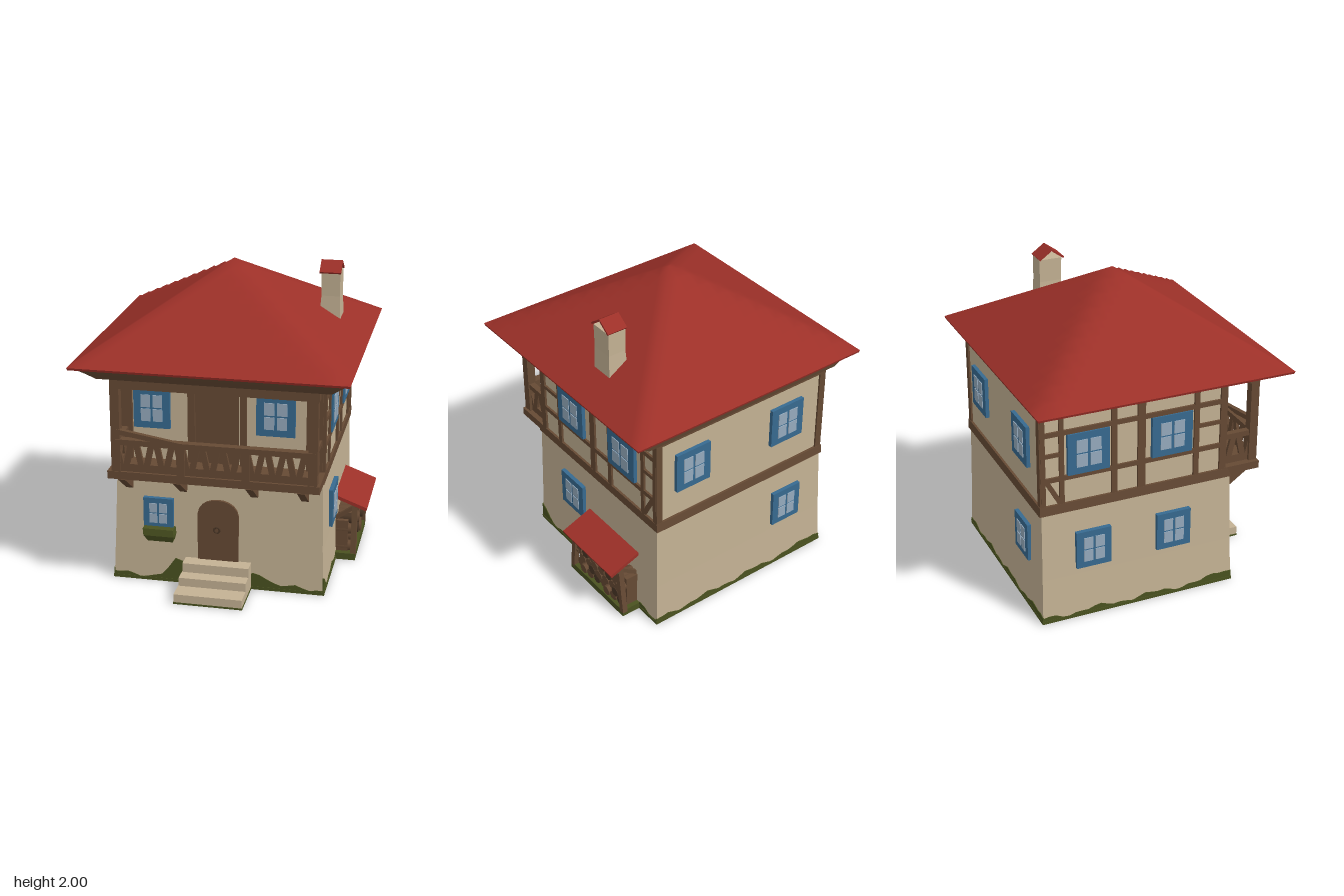
import * as THREE from 'three';

const mat = (name, color, side = THREE.FrontSide) => {
  const m = new THREE.MeshStandardMaterial({ color, side });
  m.name = name;
  return m;
};

export function createModel() {
  const root = new THREE.Group();
  root.name = 'house';
  const plaster = mat('plaster', 0xc4b294);
  const timber = mat('timber', 0x664a34);
  const darkWood = mat('dark wood', 0x4a3626);
  const red = mat('roof red', 0x9c3028, THREE.DoubleSide);
  const blue = mat('window blue', 0x376a90);
  const glass = mat('glass', 0x96abbe);
  const moss = mat('moss', 0x4a5220);

  const add = (name, geo, m, parent = root) => {
    const mesh = new THREE.Mesh(geo, m);
    mesh.name = name;
    parent.add(mesh);
    return mesh;
  };
  // box given by its limits
  const box = (name, m, x0, x1, y0, y1, z0, z1, parent) => {
    const b = add(name, new THREE.BoxGeometry(x1 - x0, y1 - y0, z1 - z0), m, parent);
    b.position.set((x0 + x1) / 2, (y0 + y1) / 2, (z0 + z1) / 2);
    return b;
  };
  // square bar between two points
  const bar = (name, m, a, b, t) => {
    const p = new THREE.Vector3(...a), q = new THREE.Vector3(...b);
    const mesh = add(name, new THREE.BoxGeometry(t, t, p.distanceTo(q)), m);
    mesh.position.copy(p).lerp(q, 0.5);
    mesh.lookAt(q);
    return mesh;
  };
  // closed solid from rectangles [y, x0, x1, z0, z1], bottom to top
  const loft = (name, m, rings) => {
    const c = rings.map(([y, x0, x1, z0, z1]) => [[x0, y, z1], [x1, y, z1], [x1, y, z0], [x0, y, z0]]);
    const v = [];
    const quad = (a, b, d, e) => v.push(...a, ...b, ...d, ...a, ...d, ...e);
    for (let i = 0; i + 1 < c.length; i++)
      for (let k = 0; k < 4; k++) {
        const n = (k + 1) % 4;
        quad(c[i][k], c[i][n], c[i + 1][n], c[i + 1][k]);
      }
    const top = c[c.length - 1];
    quad(top[0], top[1], top[2], top[3]);
    quad(c[0][3], c[0][2], c[0][1], c[0][0]);
    const g = new THREE.BufferGeometry();
    g.setAttribute('position', new THREE.Float32BufferAttribute(v, 3));
    g.computeVertexNormals();
    return add(name, g, m);
  };
  const extrude = (shape, depth) => new THREE.ExtrudeGeometry(shape, { depth, bevelEnabled: false, curveSegments: 10 });

  // walls
  loft('lowerWalls', plaster, [[0.01, -0.69, 0.66, -0.763, 0.535], [0.3, -0.675, 0.65, -0.755, 0.53], [0.76, -0.655, 0.64, -0.745, 0.52]]);
  loft('upperWalls', plaster, [[0.76, -0.645, 0.635, -0.74, 0.47], [1.45, -0.645, 0.635, -0.74, 0.47]]);
  loft('floorBeam', timber, [[0.745, -0.665, 0.65, -0.76, 0.53], [0.805, -0.66, 0.65, -0.755, 0.5]]);

  // roof, fascia and soffit
  const roofGeo = new THREE.PlaneGeometry(2, 2, 20, 20).rotateX(-Math.PI / 2);
  const rp = roofGeo.attributes.position;
  for (let i = 0; i < rp.count; i++) {
    const u = rp.getX(i), w = rp.getZ(i), r = Math.max(Math.abs(u), Math.abs(w));
    rp.setXYZ(i, u * 0.845 - 0.015, 2 - 0.51 * r, w * 0.83);
  }
  roofGeo.computeVertexNormals();
  add('roof', roofGeo, red);
  loft('roofEdge', red, [[1.475, -0.855, 0.825, -0.825, 0.825], [1.489, -0.859, 0.829, -0.829, 0.829]]);
  loft('soffit', timber, [[1.4, -0.71, 0.71, -0.77, 0.73], [1.44, -0.76, 0.76, -0.78, 0.77], [1.474, -0.82, 0.8, -0.8, 0.8]]);

  // chimney with two leaning tiles
  loft('chimney', plaster, [[1.55, 0.5, 0.64, -0.285, -0.125], [1.75, 0.515, 0.632, -0.275, -0.13], [1.9, 0.512, 0.632, -0.275, -0.125]]);
  for (const s of [-1, 1]) {
    const tile = add('chimneyTile', new THREE.BoxGeometry(0.135, 0.012, 0.105), red);
    tile.position.set(0.57, 1.932, -0.195 + s * 0.04);
    tile.rotation.x = s * 0.62;
  }

  // a mount on one wall: local x runs along the wall, local z points outward
  const mount = (name, side, u, y) => {
    const g = new THREE.Group();
    g.name = name;
    const [x, z, turn] = { front: [u, 0.47, 0], lowFront: [u, 0.53, 0], back: [u, -0.742, Math.PI], lowBack: [u, -0.752, Math.PI],
      right: [0.637, u, Math.PI / 2], lowRight: [0.648, u, Math.PI / 2],
      left: [-0.647, u, -Math.PI / 2], lowLeft: [-0.67, u, -Math.PI / 2] }[side];
    g.position.set(x, y, z);
    g.rotation.y = turn;
    root.add(g);
    return g;
  };

  // windows: frame with four panes
  const windows = [
    ['lowFront', -0.39, 0.475, 0.19, 0.2], ['front', -0.435, 1.15, 0.23, 0.26], ['front', 0.34, 1.15, 0.24, 0.26],
    ['right', 0.135, 1.125, 0.27, 0.27], ['right', -0.405, 1.125, 0.27, 0.27], ['lowRight', 0.135, 0.47, 0.24, 0.25],
    ['left', 0.11, 1.125, 0.27, 0.27], ['left', -0.44, 1.125, 0.27, 0.27],
    ['lowLeft', 0.12, 0.47, 0.23, 0.25], ['lowLeft', -0.42, 0.47, 0.23, 0.25],
    ['back', 0.38, 1.125, 0.25, 0.27], ['back', -0.35, 1.125, 0.25, 0.27], ['lowBack', -0.37, 0.47, 0.22, 0.25],
  ];
  for (const [side, u, y, w, h] of windows) {
    const g = mount('window', side, u, y);
    box('windowFrame', blue, -w / 2, w / 2, -h / 2, h / 2, -0.02, 0.022, g);
    for (const sx of [-1, 1]) for (const sy of [-1, 1]) {
      const pane = add('pane', new THREE.BoxGeometry(w * 0.26, h * 0.31, 0.006), glass, g);
      pane.position.set(sx * w * 0.165, sy * h * 0.175, 0.024);
    }
  }

  // half-timbering on both sides
  for (const side of ['left', 'right']) {
    const s = side === 'right' ? -1 : 1; // local x against world z
    const g = mount('sideTimbers', side, 0, 0);
    const plank = (z0, z1, y0, y1) => {
      const a = s * z0, b = s * z1;
      box('plank', timber, Math.min(a, b), Math.max(a, b), y0, y1, -0.01, 0.012, g);
    };
    for (const [z, w] of [[0.465, 0.045], [0.28, 0.035], [-0.09, 0.05], [-0.27, 0.035], [-0.61, 0.03], [-0.73, 0.03]])
      plank(z - w / 2, z + w / 2, 0.8, 1.42);
    plank(-0.74, 0.48, 1.26, 1.29);
    plank(-0.74, 0.48, 0.96, 0.99);
    plank(0.28, 0.47, 1.125, 1.15);
    plank(-0.74, -0.61, 1.125, 1.15);
    const brace = add('brace', new THREE.BoxGeometry(0.03, 0.2, 0.02), timber, g);
    brace.position.set(s * -0.66, 0.88, 0);
    brace.rotation.z = s * 0.5;
  }
  // back frame
  for (const x of [-0.635, 0.625]) box('backPost', timber, x - 0.022, x + 0.022, 0.8, 1.42, -0.752, -0.73);
  box('backTopBeam', timber, -0.65, 0.64, 1.37, 1.42, -0.752, -0.73);

  // front upper wall: door and frame timbers
  box('balconyDoor', timber, -0.165, 0.11, 0.8, 1.32, 0.46, 0.478);
  for (const [x, w] of [[-0.6, 0.08], [-0.185, 0.045], [0.14, 0.04], [0.58, 0.1]])
    box('frontPost', timber, x - w / 2, x + w / 2, 0.8, 1.42, 0.46, 0.495);
  box('frontTopBeam', timber, -0.64, 0.63, 1.325, 1.42, 0.46, 0.495);

  // balcony
  box('balconyFloor', timber, -0.66, 0.65, 0.76, 0.81, 0.47, 0.725);
  box('balconyBeam', timber, -0.63, 0.64, 1.345, 1.42, 0.655, 0.725);
  for (const x of [-0.605, 0.605]) {
    box('balconyPost', timber, x - 0.028, x + 0.028, 0.78, 1.4, 0.665, 0.72);
    box('sideTopBeam', timber, x - 0.03, x + 0.03, 1.36, 1.42, 0.47, 0.7);
    box('sideRail', timber, x - 0.02, x + 0.02, 0.985, 1.02, 0.48, 0.71);
  }
  box('handRail', timber, -0.62, 0.62, 0.985, 1.02, 0.675, 0.725);
  bar('leaningRail', timber, [-0.6, 1.07, 0.71], [-0.2, 1.005, 0.71], 0.03);
  for (const x of [-0.2, 0.2]) box('railPost', timber, x - 0.025, x + 0.025, 0.8, 1.0, 0.675, 0.725);
  // railing boards with alternating triangular gaps
  const railing = (w) => {
    const n = Math.round(w / 0.06), d = w / n;
    const s = new THREE.Shape([[0, 0.8], [w, 0.8], [w, 1], [0, 1]].map(p => new THREE.Vector2(...p)));
    for (let i = 0; i < n; i++) {
      const a = i * d + 0.006, b = (i + 1) * d - 0.006, m = (a + b) / 2;
      const pts = i % 2 ? [[a, 0.86], [b, 0.86], [m, 0.98]] : [[a, 0.98], [m, 0.86], [b, 0.98]];
      s.holes.push(new THREE.Path(pts.map(p => new THREE.Vector2(...p))));
    }
    return extrude(s, 0.02);
  };
  for (const x of [-0.59, -0.18, 0.22]) add('railing', railing(0.38), timber).position.set(x, 0, 0.69);
  for (const x of [-0.615, 0.595]) {
    const r = add('sideRailing', railing(0.2), timber);
    r.position.set(x, 0, 0.68);
    r.rotation.y = Math.PI / 2;
  }
  // brackets under the balcony
  for (const x of [-0.575, -0.23, 0.22, 0.535]) {
    bar('bracket', timber, [x, 0.77, 0.7], [x, 0.645, 0.52], 0.045);
    box('bracketHead', timber, x - 0.023, x + 0.023, 0.7, 0.77, 0.5, 0.62);
  }

  // arched front door
  const arch = new THREE.Shape();
  arch.moveTo(-0.14, 0.15);
  arch.lineTo(0.12, 0.15);
  arch.lineTo(0.12, 0.49);
  arch.bezierCurveTo(0.11, 0.62, -0.13, 0.62, -0.14, 0.49);
  add('frontDoor', extrude(arch, 0.03), timber).position.z = 0.512;
  add('doorRing', new THREE.TorusGeometry(0.018, 0.006, 6, 12), darkWood).position.set(-0.015, 0.39, 0.548);

  // steps and flower box
  box('topStep', plaster, -0.22, 0.2, 0.01, 0.18, 0.5, 0.625);
  box('middleStep', plaster, -0.225, 0.2, 0.01, 0.12, 0.6, 0.71);
  box('bottomStep', plaster, -0.23, 0.2, 0.01, 0.065, 0.7, 0.83);
  loft('flowerBox', moss, [[0.3, -0.45, -0.29, 0.52, 0.59], [0.34, -0.475, -0.28, 0.52, 0.605], [0.385, -0.48, -0.285, 0.52, 0.6]]);

  // mossy base and irregular edging
  box('mossBase', moss, -0.695, 0.665, 0, 0.02, -0.768, 0.54);
  box('stepMoss', moss, -0.232, 0.202, 0, 0.012, 0.5, 0.832);
  box('shedMoss', moss, 0.62, 0.79, 0, 0.045, -0.58, 0.0);
  const bump = (x, c, w, h) => h * Math.exp(-(((x - c) / w) ** 2));
  const mossStrip = (w, height) => {
    const s = new THREE.Shape();
    s.moveTo(-w / 2, 0);
    s.lineTo(w / 2, 0);
    for (let i = 30; i >= 0; i--) {
      const x = -w / 2 + (w * i) / 30;
      s.lineTo(x, 0.035 + 0.012 * Math.sin(x * 17) + 0.008 * Math.sin(x * 41) + height(x));
    }
    return extrude(s, 0.008);
  };
  for (const [x, z, turn, w, f] of [
    [-0.015, 0.53, 0, 1.355, x => bump(x, -0.25, 0.08, 0.12) + bump(x, 0.25, 0.08, 0.09)],
    [-0.015, -0.758, Math.PI, 1.355, x => bump(x, 0.6, 0.1, 0.03)],
    [0.654, -0.113, Math.PI / 2, 1.3, x => bump(x, -0.65, 0.06, 0.08)],
    [-0.684, -0.113, -Math.PI / 2, 1.3, x => bump(x, 0.6, 0.1, 0.04)],
  ]) {
    const strip = add('mossEdge', mossStrip(w, f), moss);
    strip.position.set(x, 0, z);
    strip.rotation.y = turn;
  }

  // woodshed
  const shedRoof = add('shedRoof', new THREE.BoxGeometry(0.235, 0.022, 0.53), red);
  shedRoof.position.set(0.745, 0.396, -0.293);
  shedRoof.rotation.z = -0.36;
  for (const [z0, z1] of [[-0.02, -0.06], [-0.57, -0.53]]) {
    bar('shedPost', timber, [0.775, 0.03, z0], [0.775, 0.38, z1], 0.035);
    bar('shedBrace', timber, [0.65, 0.27, z1], [0.79, 0.37, z1], 0.025);
    bar('shedRail', timber, [0.65, 0.2, z1], [0.78, 0.18, z1], 0.025);
  }
  bar('shedBeam', timber, [0.79, 0.355, -0.04], [0.79, 0.355, -0.55], 0.025);
  box('woodStack', timber, 0.64, 0.735, 0.03, 0.26, -0.55, -0.04);
  for (let row = 0; row < 4; row++)
    for (let i = 0; i < 8 - (row % 2); i++) {
      const log = add('log', new THREE.CylinderGeometry(0.034, 0.034, 0.12, 7), (i + row) % 4 === 3 ? darkWood : timber);
      log.rotation.z = Math.PI / 2;
      log.position.set(0.7 + 0.008 * ((i * 3 + row) % 4), 0.075 + row * 0.06, -0.07 - i * 0.064 - (row % 2) * 0.032);
    }
  return root;
}
